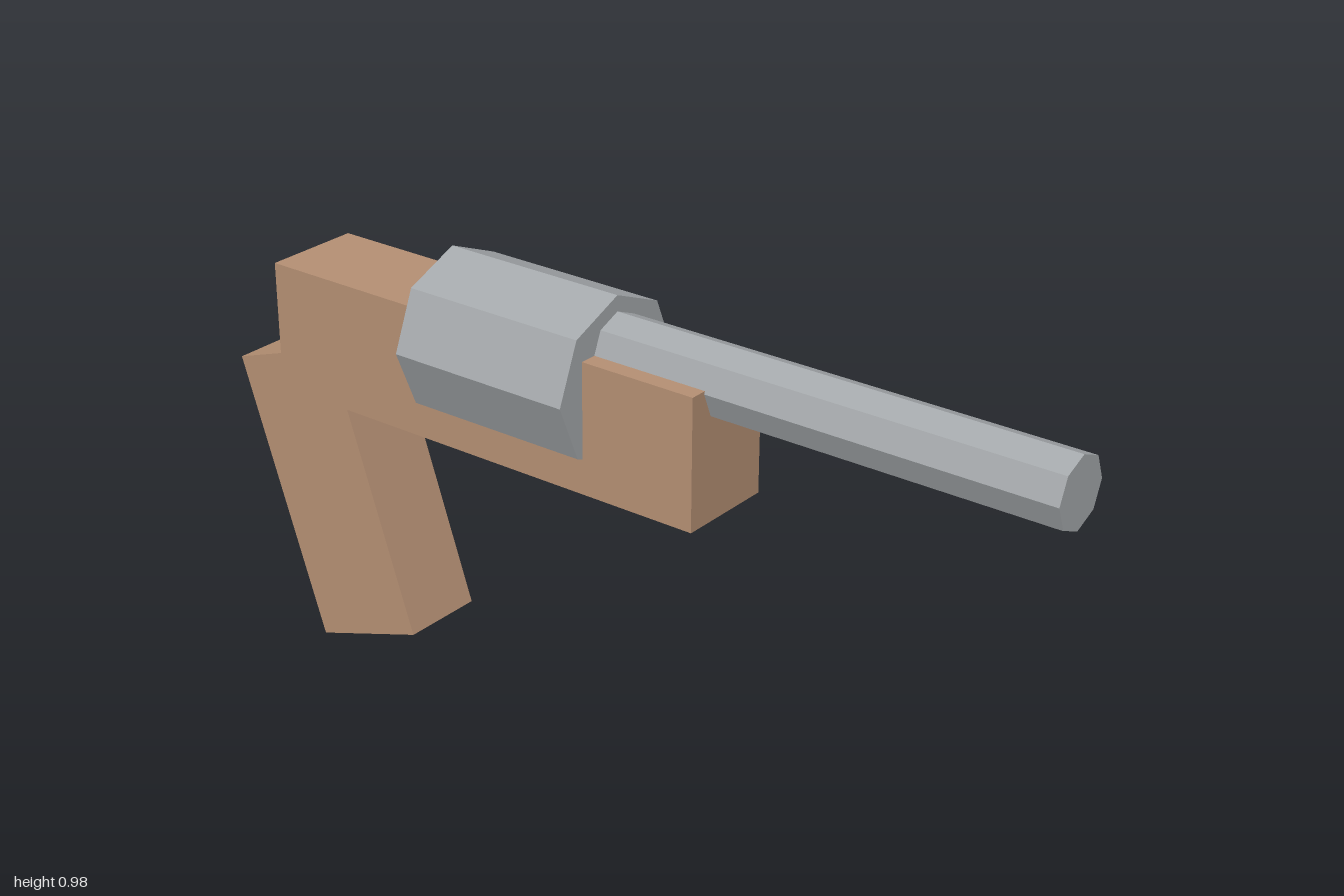
import * as THREE from 'three';

export function createModel() {
  const group = new THREE.Group();
  const wood = new THREE.MeshStandardMaterial({ color: 0xb48f73 });
  wood.name = 'wood brown';
  const steel = new THREE.MeshStandardMaterial({ color: 0xa4a8ab });
  steel.name = 'steel grey';
  wood.flatShading = steel.flatShading = true;

  const add = (name, geometry, material, y, z) => {
    const mesh = new THREE.Mesh(geometry, material);
    mesh.name = name;
    mesh.position.set(0, y, z);
    group.add(mesh);
    return mesh;
  };

  // Eight-sided rod along z, with a corner pointing up
  const octagonRod = (name, radius, y, back, front) => add(
    name,
    new THREE.CylinderGeometry(radius, radius, front - back, 8).rotateX(Math.PI / 2),
    steel, y, (front + back) / 2
  );

  // Frame block
  add('frame', new THREE.BoxGeometry(0.222, 0.286, 1.1), wood, 0.738, -0.31);

  // Tilted handle, leaning back at the top
  const grip = add('grip', new THREE.BoxGeometry(0.192, 0.656, 0.286), wood, 0.358, -0.76);
  grip.rotation.x = -0.322;

  // Rotating chamber and barrel
  octagonRod('chamber', 0.179, 0.805, -0.455, -0.027);
  octagonRod('barrel', 0.075, 0.875, -0.2, 1);

  return group;
}
